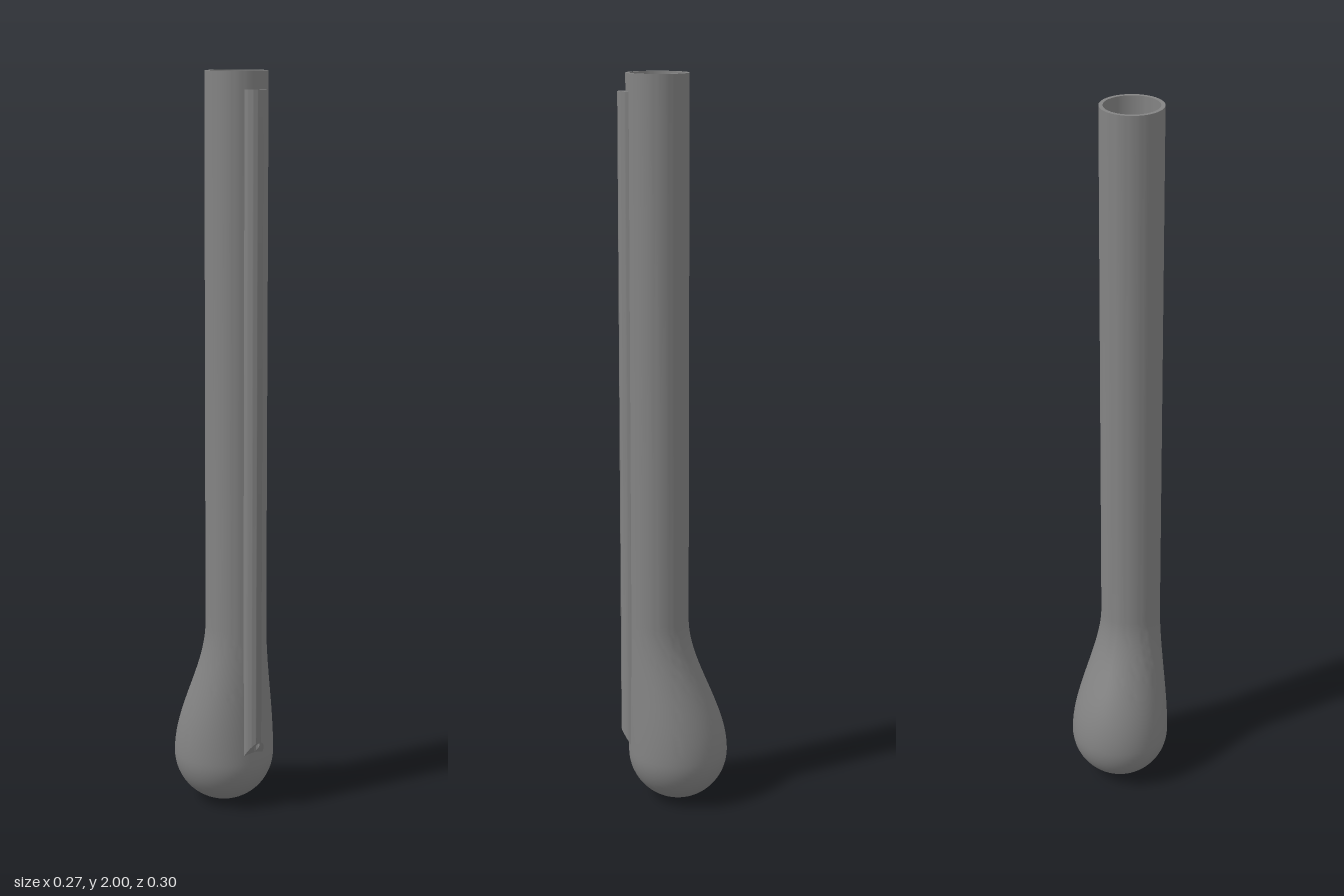
import * as THREE from 'three';
import { toCreasedNormals } from 'three/addons/utils/BufferGeometryUtils.js';

const BULB = 0.137, NECK = 0.083, WALL = 0.0105, FRONT = 0.126;
const NECK_Y = 0.52, TOP = 2;

const material = () => new THREE.MeshStandardMaterial({ color: 0x838383 });

// Profile from the bottom pole to the open top: [radius, height, z of the section's centre]
function skin(offset) {
  const rows = [];
  for (let i = 0; i <= 16; i++) {
    const a = (i / 16) * Math.PI / 2, r = BULB - offset;
    rows.push([r * Math.sin(a), BULB - r * Math.cos(a), FRONT - BULB]);
  }
  for (let i = 1; i <= 20; i++) {
    const t = i / 20;
    const r = THREE.MathUtils.lerp(BULB, NECK, t * t * (3 - 2 * t));
    rows.push([r - offset, THREE.MathUtils.lerp(BULB, NECK_Y, t), FRONT - r]);
  }
  rows.push([NECK - offset, TOP, FRONT - NECK]);
  return rows;
}

// Hollow tube whose bulb swells to the back only: a lathe with each ring shifted in z
function tubeGeometry() {
  const rows = [...skin(0), ...skin(WALL).reverse()];
  const geometry = new THREE.LatheGeometry(rows.map(([r, y]) => new THREE.Vector2(r, y)), 64);
  const pos = geometry.attributes.position;
  for (let i = 0; i < pos.count; i++) pos.setZ(i, pos.getZ(i) + rows[i % rows.length][2]);
  return toCreasedNormals(geometry, 0.6);
}

// Half-round rib with a fine bore; its back is a curve buried in the tube wall
function ribGeometry() {
  const low = 0.168, high = 1.953, r = 0.033, cz = 0.114;
  const backRadius = NECK - WALL / 2, b = Math.asin(r / backRadius);
  const shape = new THREE.Shape();
  shape.absarc(0, -cz, r, Math.PI, 2 * Math.PI, false);
  shape.absarc(0, NECK - FRONT, backRadius, -Math.PI / 2 + b, -Math.PI / 2 - b, true);
  const bore = new THREE.Path();
  bore.absarc(0, -0.137, 0.008, 0, Math.PI * 2, true);
  shape.holes.push(bore);
  const geometry = new THREE.ExtrudeGeometry(shape, { depth: high - low, bevelEnabled: false, curveSegments: 24 });
  geometry.rotateX(-Math.PI / 2).translate(0, low, 0);
  // The lower end is cut on a slant, rising to the front
  const pos = geometry.attributes.position;
  for (let i = 0; i < pos.count; i++) {
    if (pos.getY(i) < 1) pos.setY(i, low + (pos.getZ(i) - FRONT) * 1.6);
  }
  return toCreasedNormals(geometry, 0.6);
}

export function createModel() {
  const model = new THREE.Group();
  const parts = { bulbTube: tubeGeometry(), frontRib: ribGeometry() };
  for (const [name, geometry] of Object.entries(parts)) {
    const mesh = new THREE.Mesh(geometry, material());
    mesh.name = name;
    model.add(mesh);
  }
  return model;
}
